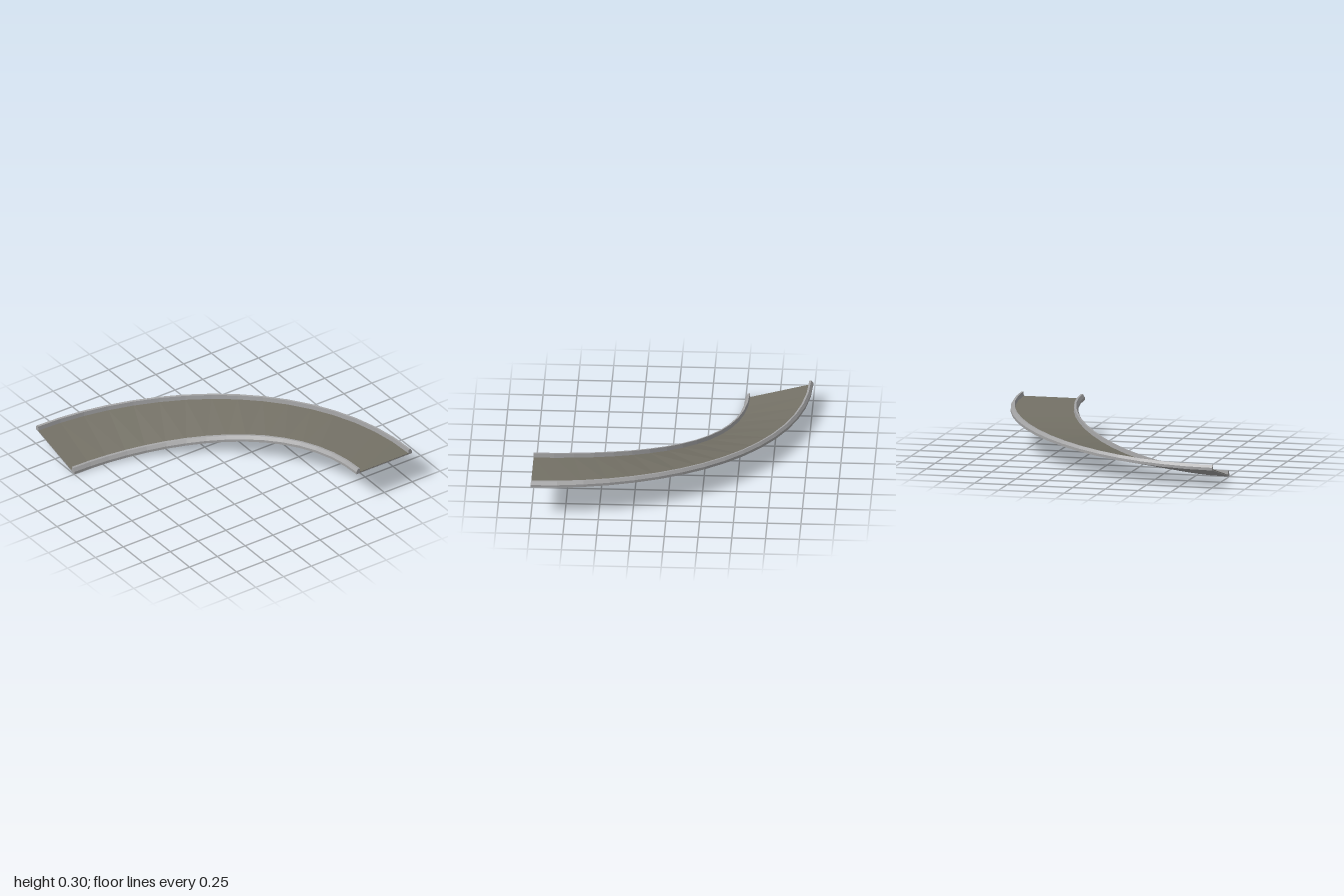
import * as THREE from 'three';

const SEGMENTS = 16;
const INNER = 1.5, OUTER = 2;

// Point on the banked quarter turn: radius r, height h above the underside, sweep angle a
function trackPoint(r, h, a) {
  const start = 0.13 * (r - INNER) / (OUTER - INNER); // banked at the low end, level at the top
  const rise = Math.sin(a) ** 2;
  return [-1 + r * Math.sin(a), start + (0.255 - start) * rise + h, 1 - r * Math.cos(a)];
}

// Sweeps a convex counter-clockwise [r, h] profile round the turn and caps both ends
function sweep(name, profile, material) {
  const pos = [];
  const tri = (a, b, c) => pos.push(...a, ...b, ...c);
  const ring = (i) => profile.map(([r, h]) => trackPoint(r, h, (i / SEGMENTS) * Math.PI / 2));
  const n = profile.length;
  for (let i = 0; i < SEGMENTS; i++) {
    const p = ring(i), q = ring(i + 1);
    for (let k = 0; k < n; k++) {
      const m = (k + 1) % n;
      tri(p[k], p[m], q[m]);
      tri(p[k], q[m], q[k]);
    }
  }
  const first = ring(0), last = ring(SEGMENTS);
  for (let k = 1; k < n - 1; k++) {
    tri(first[0], first[k + 1], first[k]);
    tri(last[0], last[k], last[k + 1]);
  }
  const geometry = new THREE.BufferGeometry();
  geometry.setAttribute('position', new THREE.Float32BufferAttribute(pos, 3));
  geometry.computeVertexNormals();
  const mesh = new THREE.Mesh(geometry, material);
  mesh.name = name;
  return mesh;
}

export function createModel() {
  const concrete = new THREE.MeshStandardMaterial({ color: 0xa3a3a4 });
  concrete.name = 'concrete grey';
  const asphalt = new THREE.MeshStandardMaterial({ color: 0x747166 });
  asphalt.name = 'asphalt brown';

  const group = new THREE.Group();
  group.name = 'bankedCurveRamp';

  // Thin slab and the road surface laid on it
  group.add(sweep('slab', [[INNER, 0], [OUTER, 0], [OUTER, 0.008], [INNER, 0.008]], concrete));
  group.add(sweep('roadSurface', [[1.53, 0.007], [1.97, 0.007], [1.97, 0.011], [1.53, 0.011]], asphalt));

  // Kerb with a chamfered outer shoulder, mirrored to the other edge
  const kerb = [[1.966, 0.008], [2, 0.008], [2, 0.02], [1.985, 0.043], [1.97, 0.043]];
  const mirrored = kerb.map(([r, h]) => [INNER + OUTER - r, h]).reverse();
  group.add(sweep('outerKerb', kerb, concrete));
  group.add(sweep('innerKerb', mirrored, concrete));

  return group;
}
